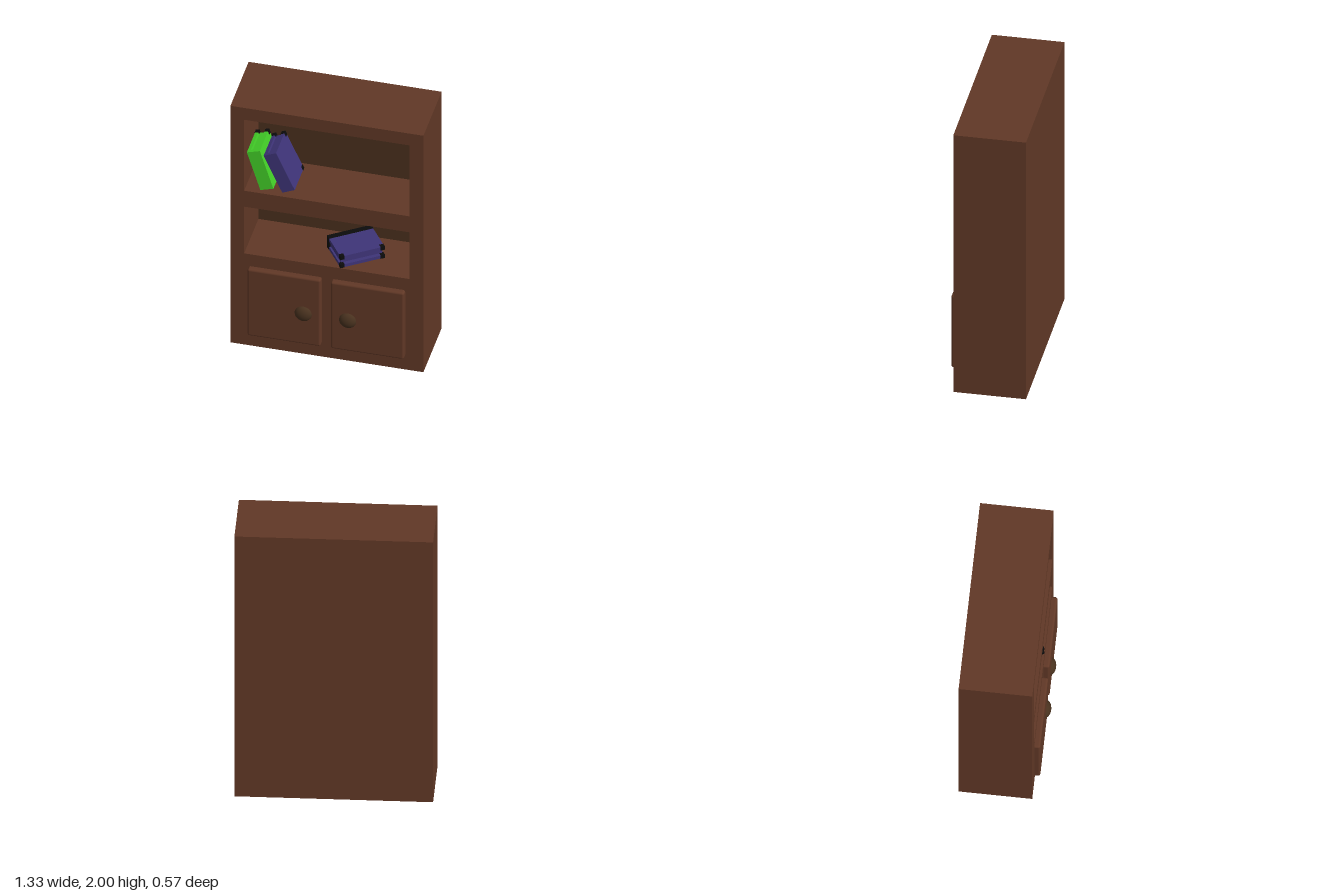
import * as THREE from 'three';
import { RoundedBoxGeometry } from 'three/addons/geometries/RoundedBoxGeometry.js';

const material = (color) => new THREE.MeshStandardMaterial({ color });

function add(parent, name, geometry, mat, x = 0, y = 0, z = 0) {
  const mesh = new THREE.Mesh(geometry, mat);
  mesh.name = name;
  mesh.position.set(x, y, z);
  parent.add(mesh);
  return mesh;
}

function rectangle(path, x0, y0, x1, y1) {
  path.moveTo(x0, y0);
  path.lineTo(x1, y0);
  path.lineTo(x1, y1);
  path.lineTo(x0, y1);
  path.closePath();
  return path;
}

// Book standing upright: spine at +z, thickness along x, centred on its origin
function makeBook(name, cover, trim) {
  const book = new THREE.Group();
  book.name = name;
  const thick = 0.094, tall = 0.315, deep = 0.25, board = 0.024;
  add(book, 'spine', new THREE.BoxGeometry(thick, tall, 0.025), cover, 0, 0, deep / 2 - 0.0125);
  add(book, 'pages', new THREE.BoxGeometry(0.034, tall - 0.02, deep - 0.035), cover, 0, 0, 0.002);
  for (const side of [-1, 1]) {
    const x = side * (thick - board) / 2;
    add(book, 'cover', new THREE.BoxGeometry(board, tall, deep - 0.025), cover, x, 0, -0.0125);
    // Dark corner guards on the fore edge
    for (const end of [-1, 1]) {
      add(book, 'cornerGuard', new THREE.BoxGeometry(board + 0.005, 0.03, 0.03), trim,
        x, end * (tall / 2 - 0.013), -deep / 2 + 0.013);
    }
  }
  return book;
}

export function createModel() {
  const model = new THREE.Group();
  model.name = 'bookcase';
  const wood = material(0x613826);
  const darkWood = material(0x4a301d);
  const knobWood = material(0x49321f);
  const green = material(0x43d028);
  const blue = material(0x3e3478);
  const black = material(0x0c0c0c);

  // Cabinet body with two open shelves
  const front = rectangle(new THREE.Shape(), -0.665, 0, 0.665, 2);
  for (const [y0, y1] of [[0.77, 1.165], [1.3, 1.9]]) {
    front.holes.push(rectangle(new THREE.Path(), -0.57, y0, 0.57, y1));
    add(model, 'shelfBack', new THREE.PlaneGeometry(1.14, y1 - y0), darkWood, 0, (y0 + y1) / 2, -0.178);
  }
  add(model, 'cabinetBody', new THREE.ExtrudeGeometry(front, { depth: 0.39, bevelEnabled: false }), wood, 0, 0, -0.18);
  add(model, 'cabinetBack', new THREE.BoxGeometry(1.33, 2, 0.105), wood, 0, 1, -0.2325);

  // Mirrored doors and flattened round knobs
  for (const side of [-1, 1]) {
    add(model, 'door', new RoundedBoxGeometry(0.505, 0.56, 0.07, 3, 0.015), wood, side * 0.2875, 0.39, 0.215);
    const knob = add(model, 'knob', new THREE.SphereGeometry(0.06, 32, 20), knobWood, side * 0.153, 0.37, 0.245);
    knob.scale.z = 0.62;
  }

  // Two books leaning on the upper shelf
  const greenBook = makeBook('greenBook', green, black);
  greenBook.position.set(-0.468, 1.467, 0.055);
  greenBook.rotation.z = 0.3;
  const blueBook = makeBook('leaningBook', blue, black);
  blueBook.position.set(-0.338, 1.468, 0.05);
  blueBook.rotation.z = 0.42;

  // One book lying on the lower shelf, fore edge turned outward
  const lyingBook = new THREE.Group();
  lyingBook.name = 'lyingBook';
  const flat = makeBook('book', blue, black);
  flat.rotation.set(Math.PI / 2, Math.PI / 2, 0, 'YXZ');
  flat.rotation.set(0, 0, Math.PI / 2);
  flat.rotateX(Math.PI);
  lyingBook.add(flat);
  // Dark band along the spine
  add(lyingBook, 'spineBand', new THREE.BoxGeometry(0.318, 0.097, 0.04), black, 0, 0, -0.106);
  lyingBook.position.set(0.15, 0.8185, 0.015);
  lyingBook.rotation.y = 0.616;

  model.add(greenBook, blueBook, lyingBook);
  return model;
}
